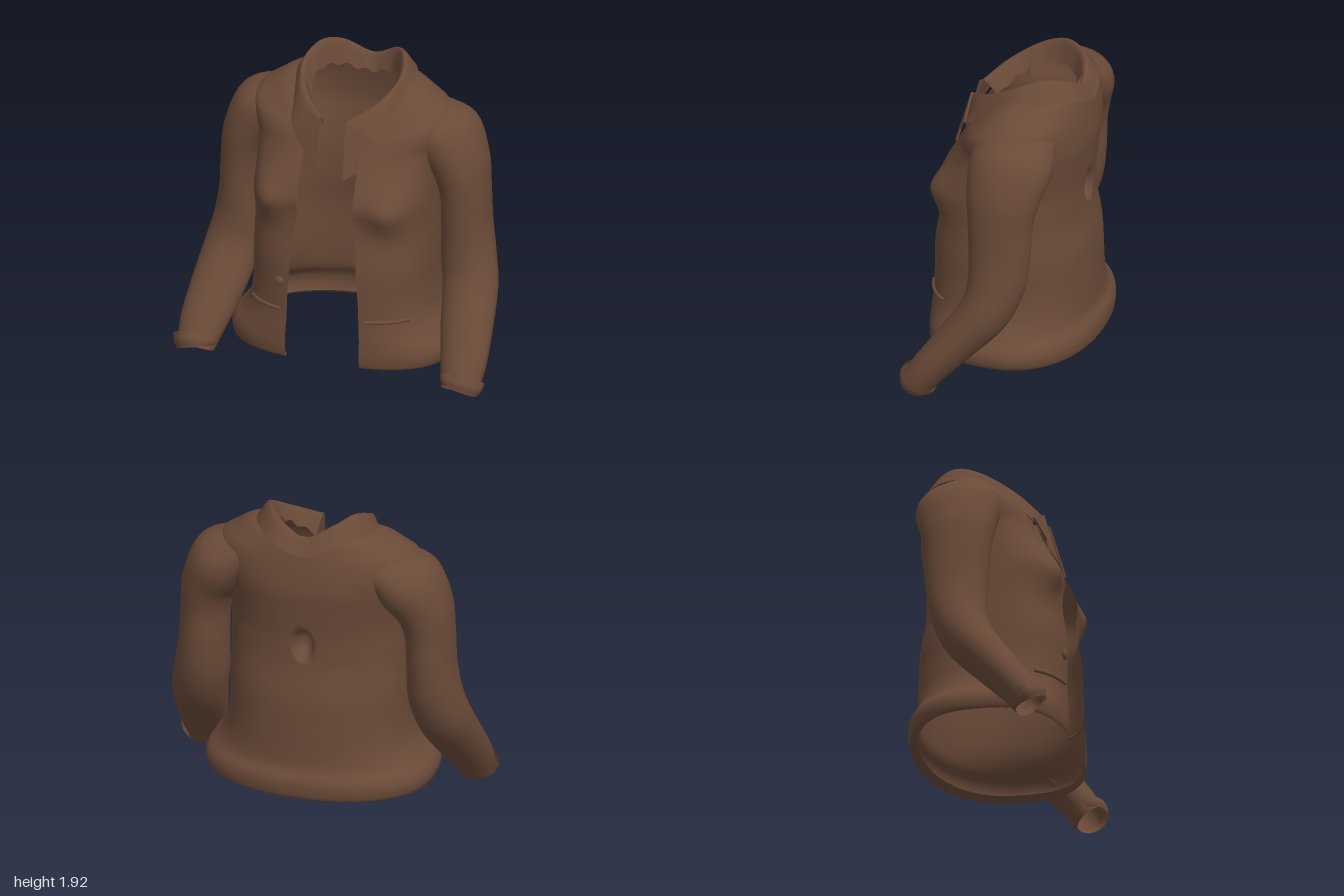
import * as THREE from 'three';

const V = (x, y, z) => new THREE.Vector3(x, y, z);
const spow = (v, p) => Math.sign(v) * Math.pow(Math.abs(v), p);
const bell = (dx, dy, p = 1) => Math.exp(-Math.pow(dx * dx + dy * dy, p));

// Smooth surface through a list of point rows; closed joins the ends of each row.
function loft(rows, steps, closed = false, deform = null) {
  const n = rows[0].length, m = (rows.length - 1) * steps;
  const pos = [], index = [];
  const cols = rows[0].map((_, j) => new THREE.CatmullRomCurve3(rows.map(r => r[j])).getPoints(m));
  for (let i = 0; i <= m; i++) {
    for (let j = 0; j < n; j++) {
      const p = cols[j][i];
      if (deform) deform(p);
      pos.push(p.x, p.y, p.z);
    }
  }
  for (let i = 0; i < m; i++) {
    for (let j = 0; j < (closed ? n : n - 1); j++) {
      const a = i * n + j, b = i * n + (j + 1) % n;
      index.push(a, b, a + n, b, b + n, a + n);
    }
  }
  const g = new THREE.BufferGeometry();
  g.setAttribute('position', new THREE.Float32BufferAttribute(pos, 3));
  g.setIndex(index);
  g.computeVertexNormals();
  return g;
}

// One torso row, running from one front edge around the back to the other.
function torsoRow([yBack, yFront, a, zf, zb, gap]) {
  const zm = (zf + zb) / 2, h = (zf - zb) / 2, N = 200;
  const start = Math.asin(Math.pow(gap / a, 1.4));
  return Array.from({ length: N + 1 }, (_, j) => {
    const t = start + (2 * Math.PI - 2 * start) * j / N;
    const e = Math.cos(t) > 0 ? 2 / 2.8 : 2 / 2.2;
    const f = spow(Math.cos(t), e);
    const y = yBack - (yBack - yFront) * Math.pow(Math.max(0, f), 1.5);
    return V(a * spow(Math.sin(t), e), y, zm + h * f);
  });
}

// Sleeve rings follow a path; each entry is centre x, y, z, half width, half depth.
function sleeveRings(list, side, wave = 0) {
  const c = list.map(s => V(s[0], s[1], s[2]));
  return list.map((s, i) => {
    const t = c[Math.min(i + 1, c.length - 1)].clone().sub(c[Math.max(i - 1, 0)]).normalize();
    const v = V(0, 0, 1).addScaledVector(t, -t.z).normalize();
    const u = v.clone().cross(t).normalize();
    if (u.x < 0) u.negate();
    return Array.from({ length: 40 }, (_, j) => {
      const q = j / 40 * Math.PI * 2;
      const w = 1 + wave * i * (Math.sin(q * 5 + 1) + 0.6 * Math.sin(q * 9));
      const p = c[i].clone().addScaledVector(u, s[3] * w * Math.cos(q)).addScaledVector(v, s[4] * w * Math.sin(q));
      p.x *= side;
      return p;
    });
  });
}

// Half a collar line (back to front) mirrored into a full one.
function collarLine(pts, wave = 0) {
  const half = pts.map(p => V(...p));
  const mirrored = half.slice(1).reverse().map(p => V(-p.x, p.y, p.z));
  const line = new THREE.CatmullRomCurve3([...mirrored, ...half]).getPoints(90);
  line.forEach((p, i) => { p.y += wave * Math.sin(i * 0.9); });
  return line;
}

export function createModel() {
  const group = new THREE.Group();
  const cloth = new THREE.MeshStandardMaterial({ color: 0x6a4a38, side: THREE.DoubleSide });
  cloth.name = 'brown cloth';
  const add = (name, geometry) => {
    const mesh = new THREE.Mesh(geometry, cloth);
    mesh.name = name;
    group.add(mesh);
    return mesh;
  };

  // Torso: back height, front height, half width, front z, back z, opening half width
  const rows = [
    [0.21, 0.20, 0.64, 0.475, -0.455, 0.235],
    [0.18, 0.18, 0.685, 0.49, -0.50, 0.235],
    [0.24, 0.24, 0.705, 0.50, -0.515, 0.235],
    [0.30, 0.30, 0.685, 0.50, -0.508, 0.235],
    [0.36, 0.36, 0.63, 0.50, -0.475, 0.235],
    [0.45, 0.45, 0.58, 0.495, -0.465, 0.23],
    [0.60, 0.60, 0.555, 0.495, -0.46, 0.225],
    [0.80, 0.80, 0.555, 0.49, -0.45, 0.21],
    [1.00, 1.00, 0.55, 0.455, -0.415, 0.195],
    [1.10, 1.10, 0.55, 0.45, -0.41, 0.18],
    [1.20, 1.20, 0.55, 0.46, -0.41, 0.175],
    [1.30, 1.30, 0.55, 0.43, -0.42, 0.18],
    [1.40, 1.40, 0.555, 0.375, -0.43, 0.175],
    [1.50, 1.49, 0.57, 0.325, -0.44, 0.15],
    [1.60, 1.55, 0.60, 0.295, -0.43, 0.13],
    [1.70, 1.59, 0.60, 0.27, -0.41, 0.12],
    [1.78, 1.62, 0.50, 0.25, -0.39, 0.12],
    [1.83, 1.64, 0.42, 0.235, -0.37, 0.12],
    [1.85, 1.65, 0.33, 0.21, -0.34, 0.11],
  ];
  add('torso', loft(rows.map(torsoRow), 4, false, p => {
    // chest fullness in front, small pressed-in hollow at the back
    if (p.z > 0) p.z += 0.07 * bell((Math.abs(p.x) - 0.4) / 0.12, (p.y - 1.17) / 0.13);
    else p.z += 0.1 * bell(p.x / 0.055, (p.y - 1.155) / 0.085, 3);
  }));

  // Sleeves with turned, uneven cuffs
  const sleeve = [
    [0.42, 1.62, -0.10, 0.14, 0.24],
    [0.58, 1.52, -0.11, 0.20, 0.255],
    [0.67, 1.36, -0.09, 0.17, 0.225],
    [0.70, 1.20, -0.085, 0.15, 0.20],
    [0.71, 1.00, -0.085, 0.15, 0.19],
    [0.725, 0.80, -0.07, 0.165, 0.175],
    [0.76, 0.62, -0.01, 0.17, 0.155],
    [0.80, 0.40, 0.16, 0.162, 0.128],
    [0.835, 0.22, 0.31, 0.14, 0.11],
    [0.845, 0.11, 0.39, 0.115, 0.10],
  ];
  const cuff = [
    [0.842, 0.10, 0.395, 0.115, 0.10],
    [0.848, 0.125, 0.385, 0.13, 0.115],
    [0.850, 0.16, 0.36, 0.138, 0.117],
  ];
  for (const side of [1, -1]) {
    const label = side > 0 ? 'left' : 'right';
    add(label + 'Sleeve', loft(sleeveRings(sleeve, side), 5, true));
    add(label + 'Cuff', loft(sleeveRings(cuff, side, 0.018), 4, true));
  }

  // Folded collar: inner stand, crest and outer fall
  const inner = collarLine([[0, 1.76, -0.31], [0.17, 1.80, -0.26], [0.25, 1.81, -0.08], [0.22, 1.72, 0.08], [0.10, 1.60, 0.2]], 0.012);
  const crest = collarLine([[0, 1.86, -0.37], [0.17, 1.94, -0.32], [0.26, 1.97, -0.2], [0.31, 1.90, -0.02], [0.24, 1.80, 0.15], [0.08, 1.70, 0.29]]);
  const outer = collarLine([[0, 1.76, -0.445], [0.2, 1.83, -0.405], [0.33, 1.86, -0.25], [0.37, 1.83, -0.05], [0.335, 1.73, 0.1], [0.27, 1.6, 0.27], [0.10, 1.55, 0.34]]);
  add('collar', loft([inner, crest, outer], 6));

  // Pointed lapels lying on the chest
  const outline = [[0.08, 1.70], [0.27, 1.60], [0.17, 1.49], [0.175, 1.41], [0.10, 1.36], [0.085, 1.62]];
  const shape = new THREE.Shape(outline.map(([x, y]) => new THREE.Vector2(x, y)));
  for (const side of [1, -1]) {
    const g = new THREE.ExtrudeGeometry(shape, { depth: 0.012, bevelEnabled: false });
    const p = g.attributes.position;
    for (let i = 0; i < p.count; i++) {
      const x = p.getX(i), y = p.getY(i);
      p.setZ(i, p.getZ(i) + 0.305 + (1.67 - y) * 0.3 - (x - 0.08) * 0.25);
    }
    g.computeVertexNormals();
    add(side > 0 ? 'leftLapel' : 'rightLapel', g).scale.x = side;
  }

  // Pocket welts that follow the curve of the front
  const frontZ = x => 0.015 + 0.48 * Math.pow(1 - Math.pow(x / 0.573, 2.8), 1 / 2.8);
  for (const side of [1, -1]) {
    const pts = [0.27, 0.33, 0.39, 0.45, 0.5].map(x => V(side * x, 0.485, frontZ(x) + 0.003));
    add(side > 0 ? 'leftPocketWelt' : 'rightPocketWelt',
      new THREE.TubeGeometry(new THREE.CatmullRomCurve3(pts), 24, 0.012, 8));
  }

  // Button on the right front
  const button = add('button', new THREE.SphereGeometry(0.031, 20, 12));
  button.scale.z = 0.5;
  button.position.set(-0.28, 0.67, 0.478);

  return group;
}
